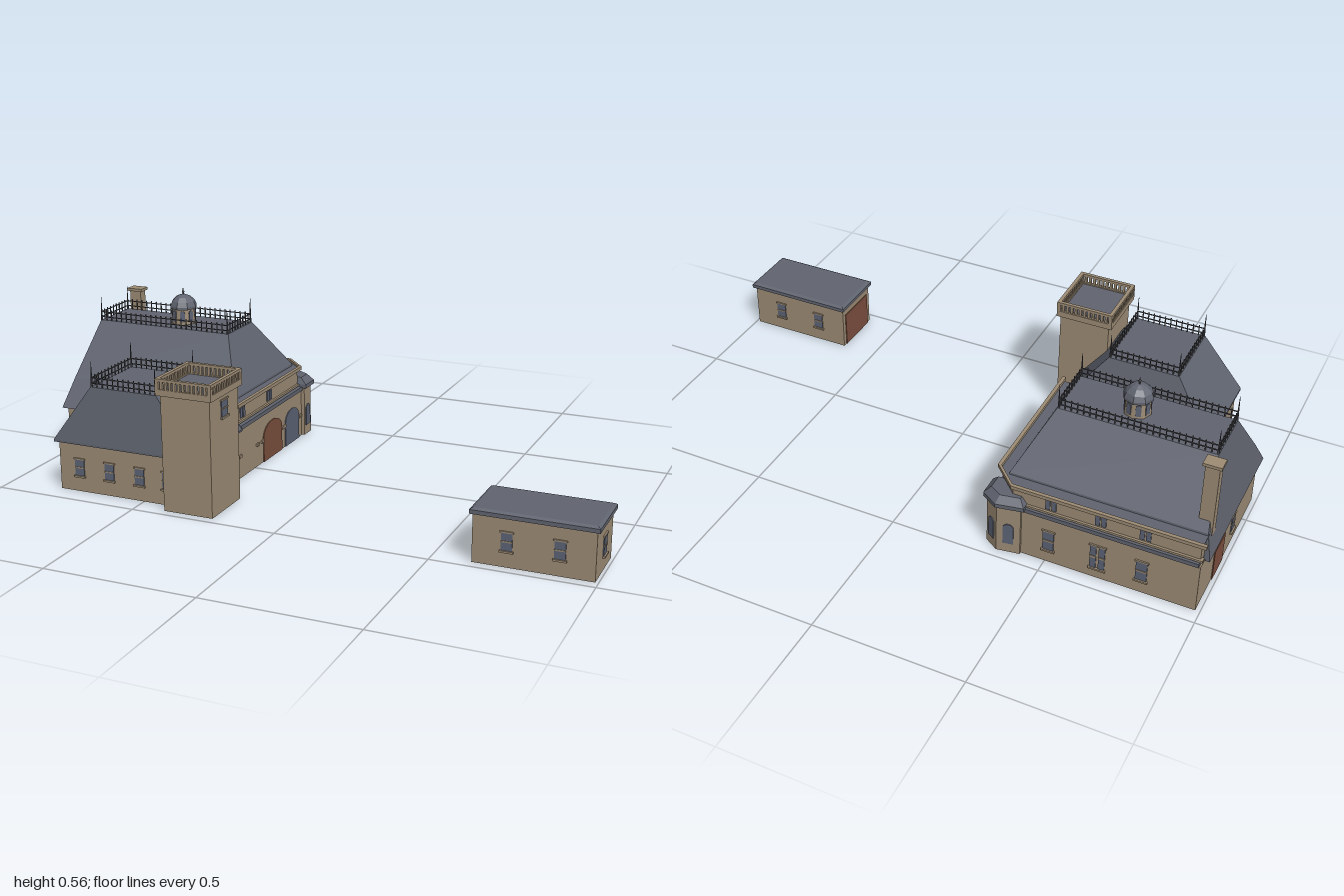
import * as THREE from 'three';

const mat = (name, color) => Object.assign(new THREE.MeshStandardMaterial({ color }), { name });

export function createModel() {
  const root = new THREE.Group();
  const wall = mat('stone', 0x9c8b74);
  const slate = mat('slate', 0x60646f);
  const glass = mat('glass', 0x5c6375);
  const wood = mat('wood', 0x7a4f3e);
  const iron = mat('iron', 0x47474b);

  const add = (name, geo, m, parent = root) => {
    const mesh = new THREE.Mesh(geo, m);
    mesh.name = name;
    parent.add(mesh);
    return mesh;
  };
  // Box given by its extents
  const box = (name, m, x0, x1, y0, y1, z0, z1, parent = root) =>
    add(name, new THREE.BoxGeometry(x1 - x0, y1 - y0, z1 - z0), m, parent)
      .position.set((x0 + x1) / 2, (y0 + y1) / 2, (z0 + z1) / 2);
  // Upright prism over an [x, z] outline
  const prism = (name, m, pts, y0, y1) => {
    const shape = new THREE.Shape(pts.map(([x, z]) => new THREE.Vector2(x, -z)));
    const geo = new THREE.ExtrudeGeometry(shape, { depth: y1 - y0, bevelEnabled: false });
    geo.rotateX(-Math.PI / 2).translate(0, y0, 0);
    return add(name, geo, m);
  };
  const rect = (x0, x1, z0, z1) => [[x0, z1], [x1, z1], [x1, z0], [x0, z0]];
  // Faceted roof skinned over rings of [height, outline]
  const loft = (name, m, rings) => {
    const p = [];
    const n = rings[0][1].length;
    const v = (i, j) => [rings[i][1][j % n][0], rings[i][0], rings[i][1][j % n][1]];
    for (let i = 0; i < rings.length - 1; i++)
      for (let j = 0; j < n; j++) {
        const [a, b, c, d] = [v(i, j), v(i, j + 1), v(i + 1, j + 1), v(i + 1, j)];
        p.push(...a, ...b, ...c, ...a, ...c, ...d);
      }
    const t = rings.length - 1;
    for (let j = 1; j < n - 1; j++)
      p.push(...v(t, 0), ...v(t, j), ...v(t, j + 1), ...v(0, 0), ...v(0, j + 1), ...v(0, j));
    const geo = new THREE.BufferGeometry();
    geo.setAttribute('position', new THREE.Float32BufferAttribute(p, 3));
    geo.computeVertexNormals();
    return add(name, geo, m);
  };
  // Thin plate facing local +z, with an optional arched top
  const plate = (name, m, w, h, arch, parent) => {
    const s = new THREE.Shape();
    const r = Math.min(w / 2, arch);
    s.moveTo(-w / 2, 0);
    s.lineTo(w / 2, 0);
    s.lineTo(w / 2, h - r);
    if (arch) s.absellipse(0, h - r, w / 2, r, 0, Math.PI, false, 0);
    else s.lineTo(-w / 2, h);
    s.closePath();
    return add(name, new THREE.ExtrudeGeometry(s, { depth: 0.003, bevelEnabled: false, curveSegments: 12 }), m, parent);
  };
  const FRONT = 0, LEFT = Math.PI / 2, BACK = Math.PI, RIGHT = -Math.PI / 2;
  const holder = (name, x, y, z, turn) => {
    const g = new THREE.Group();
    g.name = name;
    g.position.set(x, y, z);
    g.rotation.y = turn;
    root.add(g);
    return g;
  };
  const opening = (name, m, x, y, z, turn, w, h, arch = 0) =>
    plate(name + 'Panel', m, w, h, arch, holder(name, x, y, z, turn));
  const sashWindow = (x, y, z, turn, w = 0.034, h = 0.055) => {
    const g = holder('sashWindow', x, y, z, turn);
    plate('pane', glass, w, h, 0, g);
    box('sashBar', wall, -w / 2, w / 2, h * 0.47, h * 0.55, 0, 0.005, g);
    box('sill', wall, -w / 2 - 0.004, w / 2 + 0.004, -0.006, 0, 0, 0.008, g);
    box('lintel', wall, -w / 2 - 0.004, w / 2 + 0.004, h, h + 0.005, 0, 0.005, g);
  };

  // Main block, chamfered at its back corner
  prism('mainWalls', wall, [[-0.985, 0.105], [-0.31, 0.105], [-0.31, -0.38], [-0.38, -0.45], [-0.985, -0.45]], 0, 0.17);
  prism('skirtRoof', slate, [[-0.98, 0.105], [-0.306, 0.105], [-0.306, -0.382], [-0.378, -0.454], [-0.98, -0.454]], 0.17, 0.184);
  const ell = (o, i) => [[-0.325 + o, 0.105 + o], [-0.325 + o, -0.38], [-0.385, -0.44 - o], [-0.98 - o, -0.44 - o],
    [-0.98 - o, -0.44 + i], [-0.385, -0.44 + i], [-0.325 - i, -0.38], [-0.325 - i, 0.105 + o]];
  prism('upperWalls', wall, ell(0, 0.055), 0.184, 0.25);
  prism('gutter', slate, ell(0.005, 0.05), 0.25, 0.253);
  prism('ledge', wall, ell(0.008, 0.01), 0.187, 0.194);
  prism('cornice', wall, ell(0.018, -0.006), 0.249, 0.261);
  loft('mainRoof', slate, [
    [0.165, rect(-1, -0.345, -0.41, 0.12)],
    [0.26, rect(-0.983, -0.355, -0.4, 0.055)],
    [0.44, rect(-0.95, -0.445, -0.262, -0.08)]]);

  // Chimney
  box('chimney', wall, -0.988, -0.944, 0.15, 0.485, -0.378, -0.345);
  box('chimneyCap', wall, -0.995, -0.937, 0.485, 0.495, -0.384, -0.339);

  // Front wing
  box('wingWalls', wall, -0.812, -0.31, 0, 0.17, 0.09, 0.425);
  loft('wingRoof', slate, [
    [0.165, rect(-0.825, -0.305, 0.1, 0.437)],
    [0.172, rect(-0.825, -0.305, 0.1, 0.437)],
    [0.36, rect(-0.69, -0.45, 0.157, 0.412)]]);
  for (const x of [-0.737, -0.625, -0.513, -0.412]) sashWindow(x, 0.055, 0.425, FRONT);
  sashWindow(-0.31, 0.05, 0.2, LEFT, 0.036, 0.058);

  // Tower
  box('tower', wall, -0.4, -0.228, 0, 0.385, 0.278, 0.47);
  box('towerCornice', wall, -0.412, -0.217, 0.385, 0.4, 0.27, 0.481);
  box('towerDeck', slate, -0.398, -0.231, 0.4, 0.403, 0.284, 0.467);
  sashWindow(-0.228, 0.312, 0.375, LEFT, 0.042, 0.052);
  const [tx0, tx1, tz0, tz1] = [-0.412, -0.217, 0.27, 0.481];
  for (const [y0, y1] of [[0.4, 0.406], [0.431, 0.44]]) {
    for (const z of [tz0, tz1 - 0.012]) box('parapetRail', wall, tx0, tx1, y0, y1, z, z + 0.012);
    for (const x of [tx0, tx1 - 0.012]) box('parapetRail', wall, x, x + 0.012, y0, y1, tz0, tz1);
  }
  const baluster = (x, z, r) => box('baluster', wall, x - r, x + r, 0.4, 0.434, z - r, z + r);
  for (let i = 0; i <= 12; i++) {
    const r = i % 12 ? 0.0042 : 0.006;
    const x = tx0 + 0.006 + (tx1 - tx0 - 0.012) * i / 12;
    const z = tz0 + 0.006 + (tz1 - tz0 - 0.012) * i / 12;
    for (const e of [tz0 + 0.006, tz1 - 0.006]) baluster(x, e, r);
    if (i % 12) for (const e of [tx0 + 0.006, tx1 - 0.006]) baluster(e, z, r);
  }

  // Corner bay
  const bay = [[-0.36, -0.385], [-0.3, -0.385], [-0.3, -0.441], [-0.345, -0.47], [-0.42, -0.458], [-0.42, -0.42]];
  const eave = [[-0.36, -0.377], [-0.29, -0.377], [-0.29, -0.448], [-0.345, -0.483], [-0.432, -0.466], [-0.432, -0.42]];
  prism('cornerBay', wall, bay, 0, 0.185);
  loft('bayRoof', slate, [[0.18, eave], [0.194, eave],
    [0.217, eave.map(([x, z]) => [-0.37 + (x + 0.37) * 0.72, -0.41 + (z + 0.41) * 0.72])]]);
  for (const [i, w] of [[1, 0.034], [2, 0.028], [3, 0.034]]) {
    const [a, b] = [bay[i], bay[i + 1]];
    opening('bayWindow', glass, (a[0] + b[0]) / 2, 0.035, (a[1] + b[1]) / 2,
      Math.atan2(a[1] - b[1], b[0] - a[0]), w, 0.077, 0.015);
  }

  // Carriage arches and small stone blocks on the left wall
  opening('carriageDoor', wood, -0.31, 0, -0.137, LEFT, 0.146, 0.134, 0.045);
  opening('archWindow', glass, -0.31, 0, -0.297, LEFT, 0.114, 0.127, 0.042);
  for (const [a, b] of [[0.105, 0.125], [-0.027, -0.009], [-0.062, -0.045], [-0.24, -0.21], [-0.372, -0.354]])
    box('impostBlock', wall, -0.31, -0.304, 0.074, 0.084, a, b);

  // Paired upper windows
  for (const s of [-0.01, 0.01]) {
    for (const z of [0.062, -0.144]) opening('upperWindow', glass, -0.325, 0.2, z + s, LEFT, 0.015, 0.035);
    for (const x of [-0.51, -0.67, -0.81]) opening('upperWindow', glass, x + s, 0.2, -0.44, BACK, 0.015, 0.035);
  }
  // Back and right walls
  for (const x of [-0.51, -0.81]) sashWindow(x, 0.05, -0.45, BACK, 0.036, 0.07);
  for (const s of [-0.014, 0.014]) sashWindow(-0.67 + s, 0.04, -0.45, BACK, 0.02, 0.085);
  opening('sideDoor', wood, -0.985, 0, -0.255, RIGHT, 0.1, 0.11);
  sashWindow(-0.985, 0.055, -0.12, RIGHT);

  // Iron railings with corner spikes
  const railing = (x0, x1, z0, z1, y, spike) => {
    const t = 0.0015;
    for (const h of [0.012, 0.03]) {
      for (const z of [z0, z1]) box('rail', iron, x0, x1, y + h - t, y + h + t, z - t, z + t);
      for (const x of [x0, x1]) box('rail', iron, x - t, x + t, y + h - t, y + h + t, z0, z1);
    }
    const post = (x, z) => box('railPost', iron, x - t, x + t, y, y + 0.037, z - t, z + t);
    const nx = Math.round((x1 - x0) / 0.02), nz = Math.round((z1 - z0) / 0.02);
    for (let i = 0; i <= nx; i++) for (const z of [z0, z1]) post(x0 + (x1 - x0) * i / nx, z);
    for (let i = 1; i < nz; i++) for (const x of [x0, x1]) post(x, z0 + (z1 - z0) * i / nz);
    for (const x of [x0, x1]) for (const z of [z0, z1])
      add('cornerSpike', new THREE.CylinderGeometry(0.0008, 0.0035, spike, 6), iron).position.set(x, y + spike / 2, z);
  };
  railing(-0.947, -0.448, -0.257, -0.08, 0.44, 0.085);
  railing(-0.687, -0.453, 0.162, 0.408, 0.36, 0.085);

  // Eight-sided cupola
  const cupola = holder('cupola', -0.665, 0.44, -0.168, 0);
  add('cupolaDrum', new THREE.CylinderGeometry(0.04, 0.044, 0.06, 8).toNonIndexed(), wall, cupola).position.y = 0.03;
  const dome = new THREE.LatheGeometry([[0, 0.053], [0.048, 0.053], [0.048, 0.062], [0.041, 0.078], [0.026, 0.093], [0.01, 0.1], [0, 0.101]]
    .map(([r, y]) => new THREE.Vector2(r, y)), 8).toNonIndexed();
  dome.computeVertexNormals();
  add('cupolaDome', dome, slate, cupola);
  for (let i = 0; i < 8; i++) {
    const side = new THREE.Group();
    side.name = 'cupolaSide';
    side.rotation.y = (i + 0.5) * Math.PI / 4;
    cupola.add(side);
    plate('cupolaWindow', glass, 0.017, 0.04, 0.008, side).position.set(0, 0.008, 0.0385);
  }
  add('finial', new THREE.CylinderGeometry(0.001, 0.003, 0.024, 6), iron, cupola).position.y = 0.111;
  add('finialBall', new THREE.SphereGeometry(0.0045, 8, 6), iron, cupola).position.y = 0.11;

  // Outbuilding
  box('outbuildingWalls', wall, 0.622, 0.99, 0, 0.156, 0.278, 0.467);
  loft('outbuildingRoof', slate, [[0.154, rect(0.614, 1, 0.268, 0.478)], [0.167, rect(0.614, 1, 0.268, 0.478)],
    [0.173, rect(0.624, 0.99, 0.278, 0.468)]]);
  for (const x of [0.727, 0.885]) {
    sashWindow(x, 0.053, 0.467, FRONT);
    sashWindow(x, 0.053, 0.278, BACK);
  }
  sashWindow(0.99, 0.05, 0.37, LEFT, 0.036, 0.058);
  opening('outbuildingDoor', wood, 0.622, 0, 0.372, RIGHT, 0.155, 0.125);
  return root;
}
